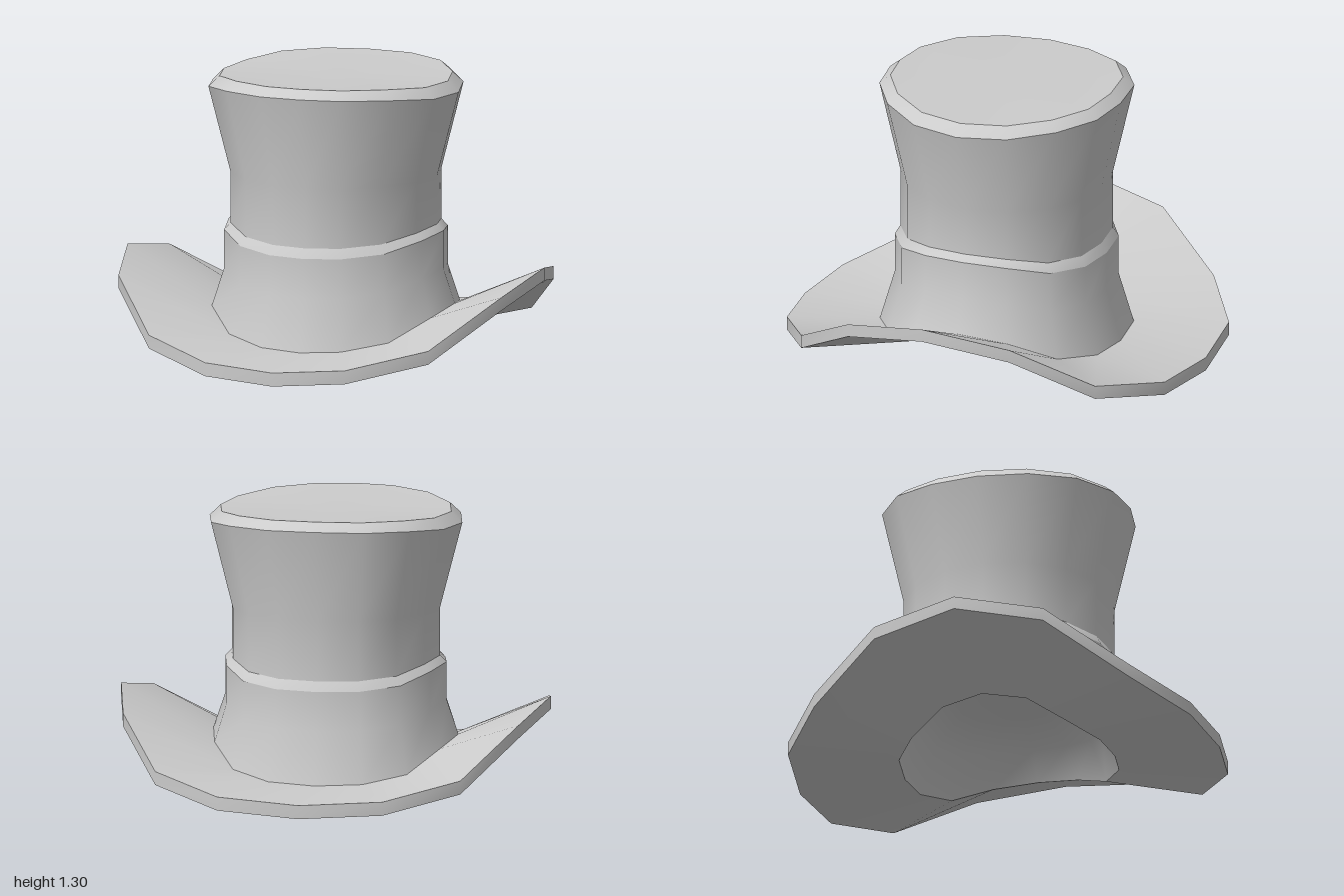
import * as THREE from 'three';
import { mergeVertices } from 'three/addons/utils/BufferGeometryUtils.js';

// Sixteen-sided outline of radius 1, from +x through the front (+z) and round the back
const FRONT = [[1, 0], [0.92, 0.4], [0.67, 0.735], [0.335, 0.945], [0, 0.995]];
const BACK = [[1, 0], [0.92, 0.4], [0.71, 0.74], [0.385, 0.95], [0, 0.995]];
// How far each corner has moved from the side height to the front height
const WAVE = [0, 0.19, 0.75, 0.945, 1];
const SIDES = 16;

function corner(i) {
  const q = i % 8;
  const k = q <= 4 ? q : 8 - q;
  const isFront = i < 8;
  const [x, z] = (isFront ? FRONT : BACK)[k];
  const left = i <= 4 || i >= 12;
  return { x: left ? x : -x, z: isFront ? z : -z, w: WAVE[k] };
}

// A ring is [radius in x, radius in z, height at the sides, height at front and back]
function loft(name, rings) {
  const positions = [];
  const index = [];
  for (const [rx, rz, ySide, yFront] of rings) {
    for (let i = 0; i < SIDES; i++) {
      const c = corner(i);
      positions.push(c.x * rx, ySide + (yFront - ySide) * c.w, c.z * rz);
    }
  }
  for (let r = 0; r < rings.length - 1; r++) {
    for (let i = 0; i < SIDES; i++) {
      const j = (i + 1) % SIDES;
      const a = r * SIDES + i, b = r * SIDES + j;
      const c = a + SIDES, d = b + SIDES;
      if (rings[r][0] > 0) index.push(a, c, b);
      if (rings[r + 1][0] > 0) index.push(b, c, d);
    }
  }
  let geometry = new THREE.BufferGeometry();
  geometry.setAttribute('position', new THREE.Float32BufferAttribute(positions, 3));
  geometry.setIndex(index);
  geometry = mergeVertices(geometry);
  geometry.computeVertexNormals();
  const material = new THREE.MeshStandardMaterial({ color: 0xcccccc, side: THREE.DoubleSide });
  const mesh = new THREE.Mesh(geometry, material);
  mesh.name = name;
  return mesh;
}

export function createModel() {
  // Shared rings, so neighbouring parts meet exactly
  const opening = [0.5, 0.5, 0.165, 0.015];
  const brimBottom = [1, 1, 0.37, 0];
  const brimTop = [1, 1, 0.43, 0.063];
  const crownBase = [0.57, 0.575, 0.24, 0.08];
  const bandTop = [0.515, 0.505, 0.575, 0.505];
  const bandInner = [0.485, 0.48, 0.605, 0.55];
  const rim = [0.588, 0.575, 1.225, 1.26];
  const topEdge = [0.537, 0.525, 1.275, 1.3];

  const hat = new THREE.Group();
  hat.name = 'topHat';
  hat.add(
    // Shallow domed hollow for the head
    loft('headHollow', [
      [0, 0, 0.4, 0.4], [0.26, 0.26, 0.375, 0.36],
      [0.42, 0.42, 0.29, 0.23], opening,
    ]),
    // Curled brim
    loft('brimUnderside', [opening, brimBottom]),
    loft('brimEdge', [brimBottom, brimTop]),
    loft('brimTop', [brimTop, crownBase]),
    // Flared base rising into the hat band, with its bevelled step
    loft('hatBand', [crownBase, [0.515, 0.505, 0.4, 0.32], bandTop]),
    loft('bandBevel', [bandTop, bandInner]),
    // Crown widening towards the rim
    loft('crown', [bandInner, [0.485, 0.48, 0.83, 0.83], rim]),
    loft('crownBevel', [rim, topEdge]),
    loft('crownTop', [topEdge, [0, 0, 1.275, 1.275]]),
  );
  return hat;
}
